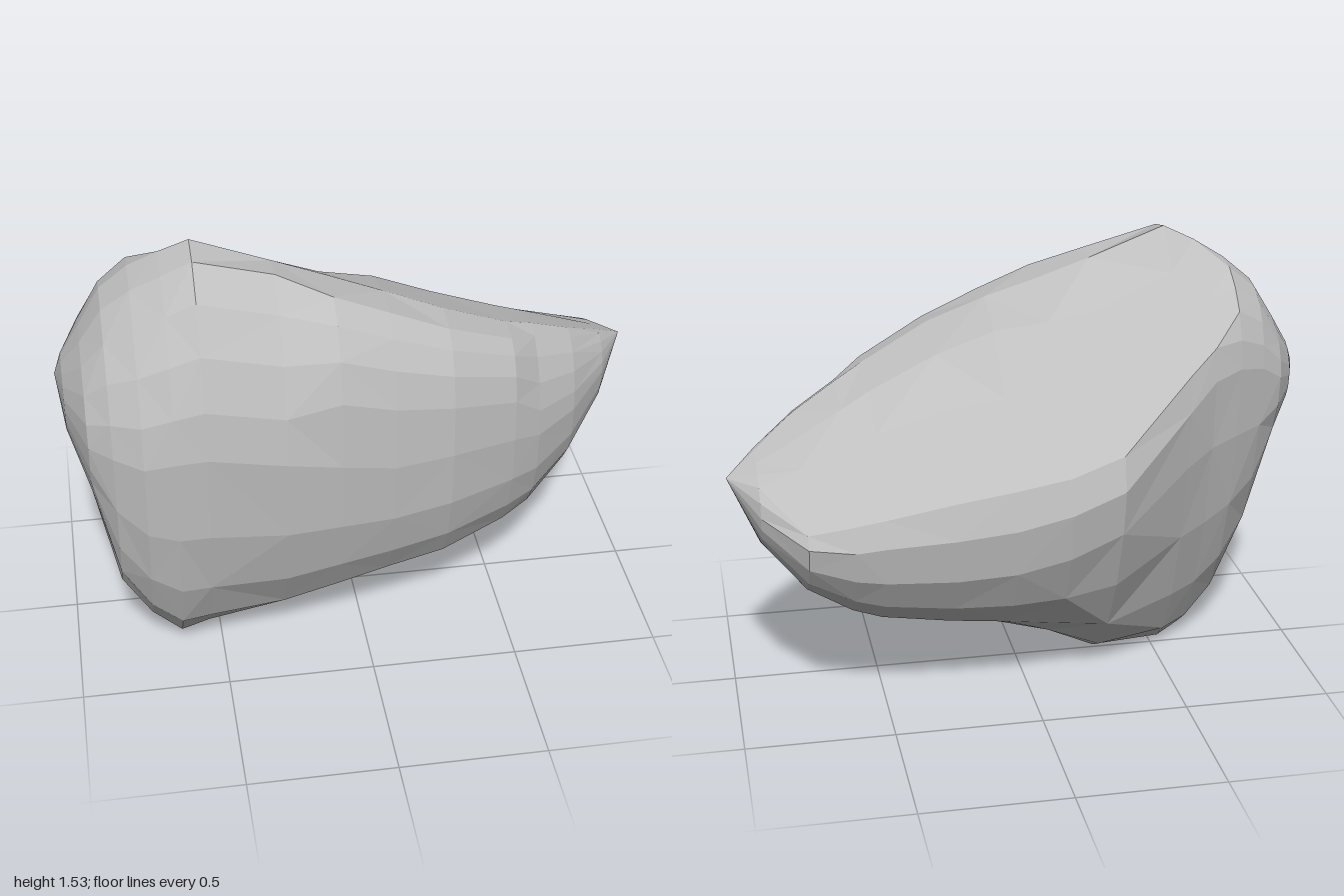
import * as THREE from 'three';

const SIDES = 20;

// Cross-sections along x, each with its four extreme points:
// x, bottom (y, z), top (y, z), back (z, y), front (z, y), roundness of the lower back
const SECTIONS = [
  [-0.975, 0.86, 0.12, 1.11, 0.08, -0.01, 1.0, 0.21, 0.98, 2],
  [-0.91, 0.68, 0.2, 1.22, 0.08, -0.11, 1.03, 0.37, 0.93, 2],
  [-0.835, 0.3, 0.22, 1.34, 0.06, -0.15, 1.08, 0.43, 0.92, 1.8],
  [-0.74, 0.12, 0.16, 1.42, 0.07, -0.2, 1.1, 0.48, 0.9, 1.7],
  [-0.64, 0.01, 0.13, 1.48, 0.1, -0.25, 1.08, 0.495, 0.92, 1.6],
  [-0.54, 0, 0.05, 1.535, 0.12, -0.31, 1.0, 0.5, 0.93, 1.5],
  [-0.28, 0.02, -0.02, 1.465, 0.12, -0.475, 0.8, 0.495, 0.88, 1.5],
  [-0.1, 0.1, 0.04, 1.385, 0.13, -0.5, 0.74, 0.475, 0.84, 1.75],
  [0.08, 0.165, 0.06, 1.31, 0.15, -0.5, 0.7, 0.45, 0.8, 2],
  [0.28, 0.205, 0.06, 1.22, 0.16, -0.495, 0.68, 0.41, 0.8, 2.1],
  [0.51, 0.265, -0.01, 1.11, 0.1, -0.49, 0.67, 0.31, 0.77, 2.1],
  [0.61, 0.31, -0.05, 1.065, 0.05, -0.485, 0.66, 0.25, 0.74, 2],
  [0.76, 0.43, -0.12, 0.99, -0.02, -0.475, 0.68, 0.13, 0.75, 2],
  [0.9, 0.61, -0.18, 0.91, -0.13, -0.35, 0.75, -0.03, 0.79, 2],
];

// Face sloping down toward the tip, and the broad flat cut slanting down the back
const topFace = (x, z) => 1.19 - 0.38 * (x - 0.36) + 0.3 * (z - 0.14);
const backCut = (x, z) => 1.53 - 0.18 * (x + 0.55) + (z - 0.12);

function sectionPoint([x, yBot, zBot, yTop, zTop, zBack, yBack, zFront, yFront, round], j) {
  const t = (j / SIDES) * Math.PI * 2;
  const c = Math.cos(t), s = Math.sin(t);
  const upper = s >= 0, front = c >= 0;
  // the shoulder of the front bulge is squarer, ending in a step
  const shoulder = x > -0.2 && x < 0.55 ? 2.8 : 1.85;
  const roundness = front ? (upper ? shoulder : 2.2) : (upper ? 2 : round);
  const u = Math.abs(c) ** (2 / roundness), v = Math.abs(s) ** (2 / roundness);
  const zMid = upper ? zTop : zBot;
  const yMid = front ? yFront : yBack;
  const z = zMid + ((front ? zFront : zBack) - zMid) * u;
  const y = yMid + ((upper ? yTop : yBot) - yMid) * v;
  return [x, Math.min(y, topFace(x, z), backCut(x, z)), z];
}

function rockGeometry() {
  const positions = [], index = [];
  for (const section of SECTIONS) {
    for (let j = 0; j < SIDES; j++) positions.push(...sectionPoint(section, j));
  }
  const at = (i, j) => i * SIDES + (j % SIDES);
  const last = SECTIONS.length - 1;
  const blunt = SECTIONS.length * SIDES, tip = blunt + 1;
  positions.push(-1, 1.03, 0.06, 1, 0.84, -0.2);

  for (let j = 0; j < SIDES; j++) {
    // closing facets at both ends
    index.push(blunt, at(0, j), at(0, j + 1));
    index.push(at(last, j), tip, at(last, j + 1));
    // facets between sections, with alternating diagonals
    for (let i = 0; i < last; i++) {
      const a = at(i, j), b = at(i, j + 1), c = at(i + 1, j + 1), d = at(i + 1, j);
      if ((i + j) % 2) index.push(a, d, c, a, c, b);
      else index.push(a, d, b, d, c, b);
    }
  }
  const indexed = new THREE.BufferGeometry();
  indexed.setAttribute('position', new THREE.Float32BufferAttribute(positions, 3));
  indexed.setIndex(index);
  const geometry = indexed.toNonIndexed();
  geometry.computeVertexNormals();
  return geometry;
}

export function createModel() {
  const stone = new THREE.MeshStandardMaterial({ color: 0xbfbfbf, flatShading: true });
  stone.name = 'stone grey';
  const rock = new THREE.Mesh(rockGeometry(), stone);
  rock.name = 'rock';
  const model = new THREE.Group();
  model.name = 'boulder';
  model.add(rock);
  return model;
}
